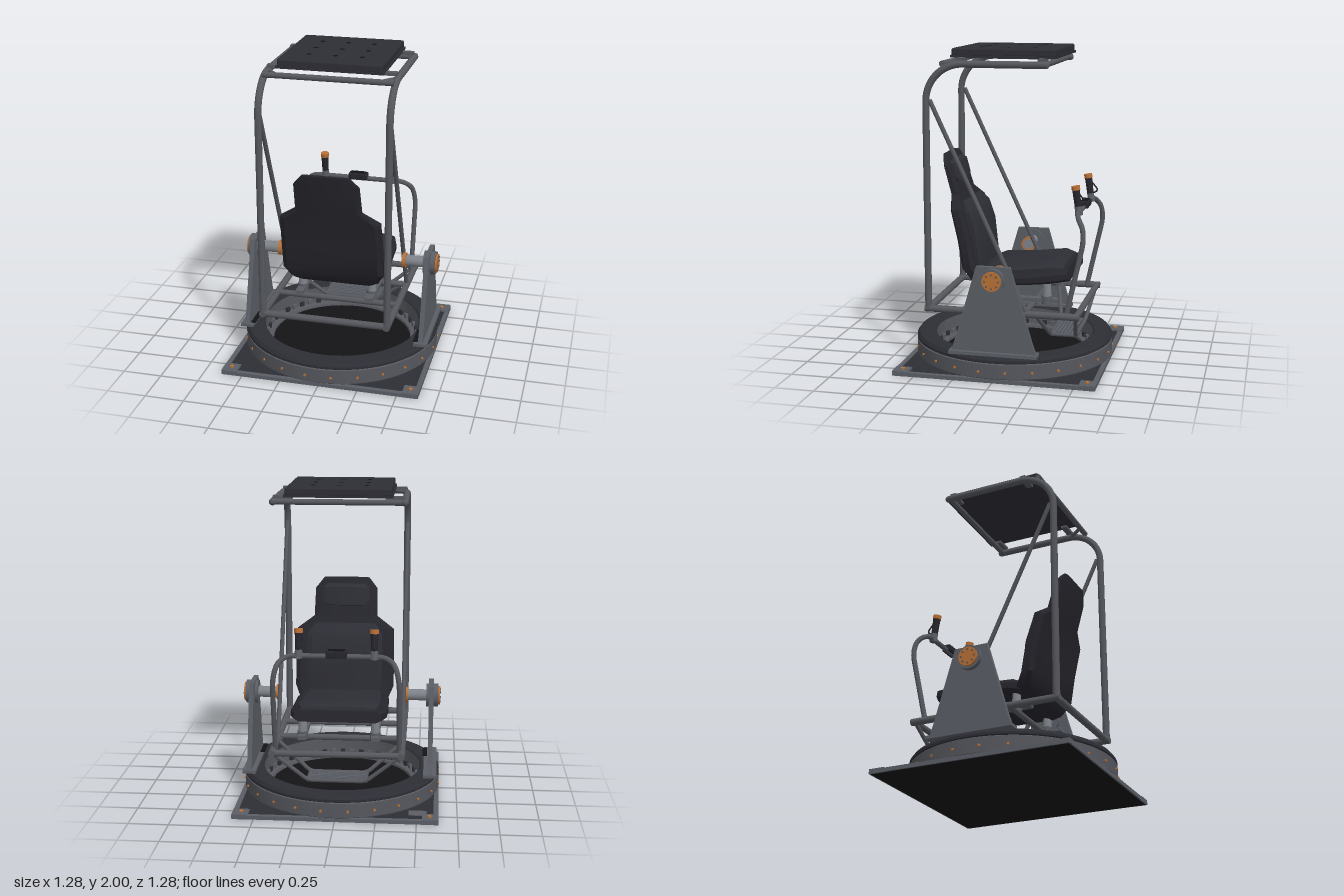
import * as THREE from 'three';
import { mergeGeometries, toCreasedNormals } from 'three/addons/utils/BufferGeometryUtils.js';
import { RoundedBoxGeometry } from 'three/addons/geometries/RoundedBoxGeometry.js';

const paint = (name, color) => {
  const m = new THREE.MeshStandardMaterial({ color });
  m.name = name;
  return m;
};
const V = (x, y, z) => new THREE.Vector3(x, y, z);

export function createModel() {
  const root = new THREE.Group();
  root.name = 'gyroChair';
  const tubeGray = paint('tubeGray', 0x55575d);
  const plateGray = paint('plateGray', 0x5a5e65);
  const dark = paint('darkPanel', 0x2d2d35);
  const seatDark = paint('seatDark', 0x25252c);
  const black = paint('black', 0x141416);
  const orange = paint('copperOrange', 0xb87035);
  const steel = paint('lightSteel', 0x7d8288);

  const add = (name, geo, mat, x = 0, y = 0, z = 0) => {
    const m = new THREE.Mesh(geo, mat);
    m.name = name;
    m.position.set(x, y, z);
    root.add(m);
    return m;
  };
  const box = (name, mat, w, h, d, x, y, z) => add(name, new THREE.BoxGeometry(w, h, d), mat, x, y, z);

  // Straight round bar between two points
  const bar = (name, mat, a, b, r, r2 = r, sides = 16) => {
    const dir = b.clone().sub(a);
    const m = add(name, new THREE.CylinderGeometry(r2, r, dir.length(), sides), mat);
    m.position.copy(a).add(b).multiplyScalar(0.5);
    m.quaternion.setFromUnitVectors(V(0, 1, 0), dir.normalize());
    return m;
  };

  // Bent tube along a polyline with rounded corners and domed ends
  const bent = (name, mat, pts, r, bend) => {
    const path = new THREE.CurvePath();
    let last = pts[0];
    for (let i = 1; i < pts.length - 1; i++) {
      const p = pts[i];
      const toward = q => p.clone().add(q.clone().sub(p).setLength(Math.min(bend, q.distanceTo(p) * 0.48)));
      const a = toward(pts[i - 1]), b = toward(pts[i + 1]);
      path.add(new THREE.LineCurve3(last, a));
      const k = 0.55;
      path.add(new THREE.CubicBezierCurve3(a, a.clone().lerp(p, k), b.clone().lerp(p, k), b));
      last = b;
    }
    const end = pts[pts.length - 1];
    path.add(new THREE.LineCurve3(last, end));
    const caps = [pts[0], end].map(p => new THREE.SphereGeometry(r, 12, 8).translate(p.x, p.y, p.z));
    return add(name, mergeGeometries([new THREE.TubeGeometry(path, 90, r, 12), ...caps]), mat);
  };

  // Upholstery loft; each row is [half width, y, z of one side, y, z of the other side]
  const loft = (name, mat, rows, c) => {
    const pos = [], idx = [];
    for (const [w, y1, z1, y2, z2] of rows) {
      for (const [x, t] of [[w - c, 0], [w, 0.25], [w, 0.75], [w - c, 1], [c - w, 1], [-w, 0.75], [-w, 0.25], [c - w, 0]])
        pos.push(x, y1 + (y2 - y1) * t, z1 + (z2 - z1) * t);
    }
    const end = (rows.length - 1) * 8;
    for (let i = 0; i < rows.length - 1; i++)
      for (let j = 0; j < 8; j++) {
        const a = i * 8 + j, b = i * 8 + (j + 1) % 8;
        idx.push(a, b, b + 8, a, b + 8, a + 8);
      }
    for (let j = 1; j < 7; j++) idx.push(0, j + 1, j, end, end + j, end + j + 1);
    const g = new THREE.BufferGeometry();
    g.setAttribute('position', new THREE.Float32BufferAttribute(pos, 3));
    g.setIndex(idx);
    return add(name, toCreasedNormals(g, 0.5), mat);
  };

  const lathe = (name, mat, pts) =>
    add(name, toCreasedNormals(new THREE.LatheGeometry(pts.map(p => new THREE.Vector2(...p)), 72), 0.5), mat);

  // Square base with raised border, corner blocks and bolts
  box('baseUnderside', black, 1.25, 0.006, 1.25, 0, 0.003, 0);
  box('basePlate', dark, 1.25, 0.014, 1.25, 0, 0.013, 0);
  for (const s of [-1, 1]) {
    box('baseBorder', plateGray, 1.26, 0.024, 0.03, 0, 0.014, s * 0.62);
    box('baseBorder', plateGray, 0.03, 0.024, 1.26, s * 0.62, 0.014, 0);
    for (const t of [-1, 1]) {
      box('cornerBlock', plateGray, 0.1, 0.03, 0.1, s * 0.584, 0.016, t * 0.584);
      add('cornerBolt', new THREE.CylinderGeometry(0.013, 0.013, 0.01, 12), orange, s * 0.58, 0.034, t * 0.58);
    }
  }
  box('dataPlate', plateGray, 0.11, 0.006, 0.07, -0.505, 0.023, -0.505);

  // Turntable ring, inner race with teeth, and floor
  lathe('ringBand', tubeGray, [[0.625, 0.015], [0.635, 0.03], [0.635, 0.12], [0.628, 0.125]]);
  lathe('ringTop', dark, [[0.628, 0.125], [0.635, 0.13], [0.635, 0.145], [0.62, 0.165], [0.52, 0.165], [0.51, 0.155]]);
  lathe('ringInnerWall', tubeGray, [[0.51, 0.155], [0.505, 0.05], [0.46, 0.045], [0.455, 0.02]]);
  add('floorDisc', new THREE.CylinderGeometry(0.46, 0.46, 0.01, 64), black, 0, 0.025, 0);
  for (let i = 0; i < 48; i++) {
    const a = (i + 0.5) / 48 * Math.PI * 2;
    const t = box('raceTooth', i % 2 ? plateGray : dark, 0.03, 0.03, 0.016, Math.sin(a) * 0.495, 0.065, Math.cos(a) * 0.495);
    t.rotation.y = a;
  }
  for (let i = 0; i < 24; i++) {
    const a = (i + 0.5) / 24 * Math.PI * 2;
    const b = add('ringBolt', new THREE.CylinderGeometry(0.008, 0.008, 0.012, 8), orange, Math.sin(a) * 0.637, 0.07, Math.cos(a) * 0.637);
    b.rotation.set(Math.PI / 2, 0, -a, 'YXZ');
    b.rotation.set(Math.PI / 2, a, 0, 'YXZ');
  }

  // Side pedestals with pivot bearings and shafts
  const side = new THREE.Shape([[-0.265, 0.18], [0.265, 0.18], [0.24, 0.25], [0.105, 0.715], [-0.105, 0.715], [-0.24, 0.25]]
    .map(p => new THREE.Vector2(...p)));
  for (const s of [-1, 1]) {
    const plate = new THREE.ExtrudeGeometry(side, { depth: 0.03, bevelEnabled: false }).rotateY(Math.PI / 2);
    add('pedestalPlate', plate, plateGray, s * 0.577 - 0.015, 0, 0);
    box('pedestalFoot', plateGray, 0.085, 0.02, 0.55, s * 0.577, 0.175, 0);
    box('footSlot', black, 0.03, 0.006, 0.16, s * 0.542, 0.187, 0.17);
    const disc = (name, mat, r, x0, x1, y = 0.635, z = 0) => bar(name, mat, V(s * x0, y, z), V(s * x1, y, z), r, r, 32);
    disc('bearingHousing', plateGray, 0.075, 0.545, 0.622);
    disc('bearingCover', orange, 0.06, 0.62, 0.634);
    for (let i = 0; i < 8; i++) {
      const a = i / 8 * Math.PI * 2;
      disc('coverBolt', tubeGray, 0.006, 0.632, 0.638, 0.635 + Math.sin(a) * 0.043, Math.cos(a) * 0.043);
    }
    disc('pivotShaft', steel, 0.036, 0.4, 0.56);
    disc('shaftCollar', orange, 0.048, 0.405, 0.427);
  }

  // Roll cage: hoops, bottom rails, braces and control arms on each side
  for (const s of [-1, 1]) {
    const x = s * 0.4;
    bent('sideHoop', tubeGray, [V(x, 0.38, 0.463), V(x, 1.91, 0.463), V(x, 1.91, -0.28)], 0.022, 0.23);
    bar('bottomRail', tubeGray, V(x, 0.38, 0.485), V(x, 0.38, -0.495), 0.022);
    bar('diagonalBrace', tubeGray, V(x, 1.69, 0.44), V(x, 0.38, -0.17), 0.014);
    bar('cageGusset', tubeGray, V(x, 1.91, 0.25), V(s * 0.31, 1.91, 0.36), 0.012);
    bent('controlArm', tubeGray, [V(s * 0.385, 0.38, -0.41), V(s * 0.385, 0.9, -0.525), V(s * 0.33, 1.0, -0.46), V(s * 0.2, 1.0, -0.455)], 0.016, 0.1);
    // Seat slide rails and posts
    box('seatRail', plateGray, 0.05, 0.025, 0.56, s * 0.23, 0.433, -0.05);
    for (const z of [0.13, -0.26]) {
      bar('seatPost', steel, V(s * 0.23, 0.44, z), V(s * 0.23, 0.57, z), 0.03, 0.022);
      bar('seatPostFoot', plateGray, V(s * 0.23, 0.41, z), V(s * 0.23, 0.46, z), 0.034);
    }
    // Joystick with cap and trigger guard
    const h = s * 0.23;
    bar('joystickBase', plateGray, V(h, 0.985, -0.458), V(h, 1.04, -0.452), 0.026, 0.022);
    bar('joystickGrip', seatDark, V(h, 1.03, -0.453), V(h, 1.145, -0.437), 0.021, 0.024);
    bar('joystickCap', orange, V(h, 1.14, -0.438), V(h, 1.165, -0.434), 0.027);
    bent('triggerGuard', seatDark, [V(h, 1.12, -0.455), V(h, 1.06, -0.505), V(h, 1.04, -0.465)], 0.005, 0.02);
  }
  const cross = (name, y, z, w, r) => bar(name, tubeGray, V(-w, y, z), V(w, y, z), r);
  cross('rearBottomBar', 0.38, 0.463, 0.4, 0.022);
  cross('frontBottomBar', 0.38, -0.475, 0.4, 0.02);
  cross('rearRoofBar', 1.91, 0.36, 0.4, 0.018);
  cross('frontRoofBar', 1.91, -0.27, 0.41, 0.018);
  for (const z of [-0.155, 0.155]) cross('seatCrossBar', 0.385, z, 0.4, 0.019);
  cross('controlBar', 1.0, -0.455, 0.24, 0.016);
  add('controlBox', new RoundedBoxGeometry(0.13, 0.045, 0.06, 2, 0.01), seatDark, 0, 1.015, -0.457);
  box('controlBoxScreen', black, 0.1, 0.006, 0.04, 0, 1.038, -0.457);

  // Footrest: two hanging tubes carrying slats
  for (const [z0, z1] of [[-0.47, -0.435], [-0.22, -0.275]]) {
    const p = s => [V(s * 0.385, 0.37, z0), V(s * 0.18, 0.195, z1)];
    bent('footrestTube', tubeGray, [...p(-1), ...p(1).reverse()], 0.013, 0.03);
  }
  for (const s of [-1, 1]) bar('footrestSide', tubeGray, V(s * 0.18, 0.195, -0.275), V(s * 0.18, 0.195, -0.435), 0.012);
  for (let i = 0; i < 6; i++) box('footrestSlat', plateGray, 0.36, 0.012, 0.014, 0, 0.2, -0.3 - i * 0.022);

  // Roof panel with a grid of holes
  box('roofUnderside', dark, 0.66, 0.015, 0.655, 0, 1.95, 0);
  add('roofPanel', new RoundedBoxGeometry(0.645, 0.05, 0.645, 2, 0.012), dark, 0, 1.975, 0);
  for (const x of [-0.165, 0, 0.165])
    for (const z of [-0.165, 0, 0.165])
      add('roofHole', new THREE.CylinderGeometry(0.016, 0.016, 0.004, 20), black, x, 1.999, z);
  for (const s of [-1, 1])
    for (const z of [-0.25, 0.25]) box('roofMount', tubeGray, 0.12, 0.02, 0.04, s * 0.34, 1.937, z);

  // Seat back shell, back pad and headrest
  loft('seatBackShell', seatDark, [
    [0.25, 0.505, 0.17, 0.54, 0.1], [0.29, 0.54, 0.22, 0.56, 0.14], [0.325, 0.62, 0.27, 0.63, 0.19],
    [0.325, 0.8, 0.3, 0.81, 0.22], [0.32, 0.99, 0.345, 1.0, 0.275], [0.21, 1.07, 0.37, 1.075, 0.32],
    [0.205, 1.25, 0.42, 1.255, 0.375], [0.15, 1.32, 0.44, 1.315, 0.4]], 0.03);
  loft('backPad', dark, [
    [0.23, 0.58, 0.2, 0.58, 0.155], [0.25, 0.66, 0.22, 0.67, 0.165], [0.25, 0.84, 0.25, 0.86, 0.185],
    [0.245, 0.96, 0.28, 0.98, 0.225], [0.2, 1.02, 0.31, 1.04, 0.275]], 0.03);
  loft('headrestPad', dark, [
    [0.13, 1.14, 0.35, 1.15, 0.325], [0.155, 1.165, 0.37, 1.17, 0.33], [0.155, 1.26, 0.39, 1.265, 0.355],
    [0.125, 1.285, 0.4, 1.285, 0.375]], 0.02);

  // Seat pan and cushion
  loft('seatPan', seatDark, [
    [0.27, 0.6, 0.2, 0.51, 0.17], [0.3, 0.595, 0.1, 0.525, 0.1], [0.305, 0.595, -0.12, 0.53, -0.12],
    [0.3, 0.625, -0.3, 0.55, -0.3], [0.27, 0.635, -0.39, 0.565, -0.405]], 0.03);
  loft('seatCushion', dark, [
    [0.22, 0.61, 0.16, 0.57, 0.16], [0.25, 0.63, 0.1, 0.57, 0.1], [0.255, 0.64, -0.1, 0.57, -0.1],
    [0.255, 0.665, -0.3, 0.6, -0.3], [0.23, 0.65, -0.36, 0.61, -0.37]], 0.03);

  return root;
}
